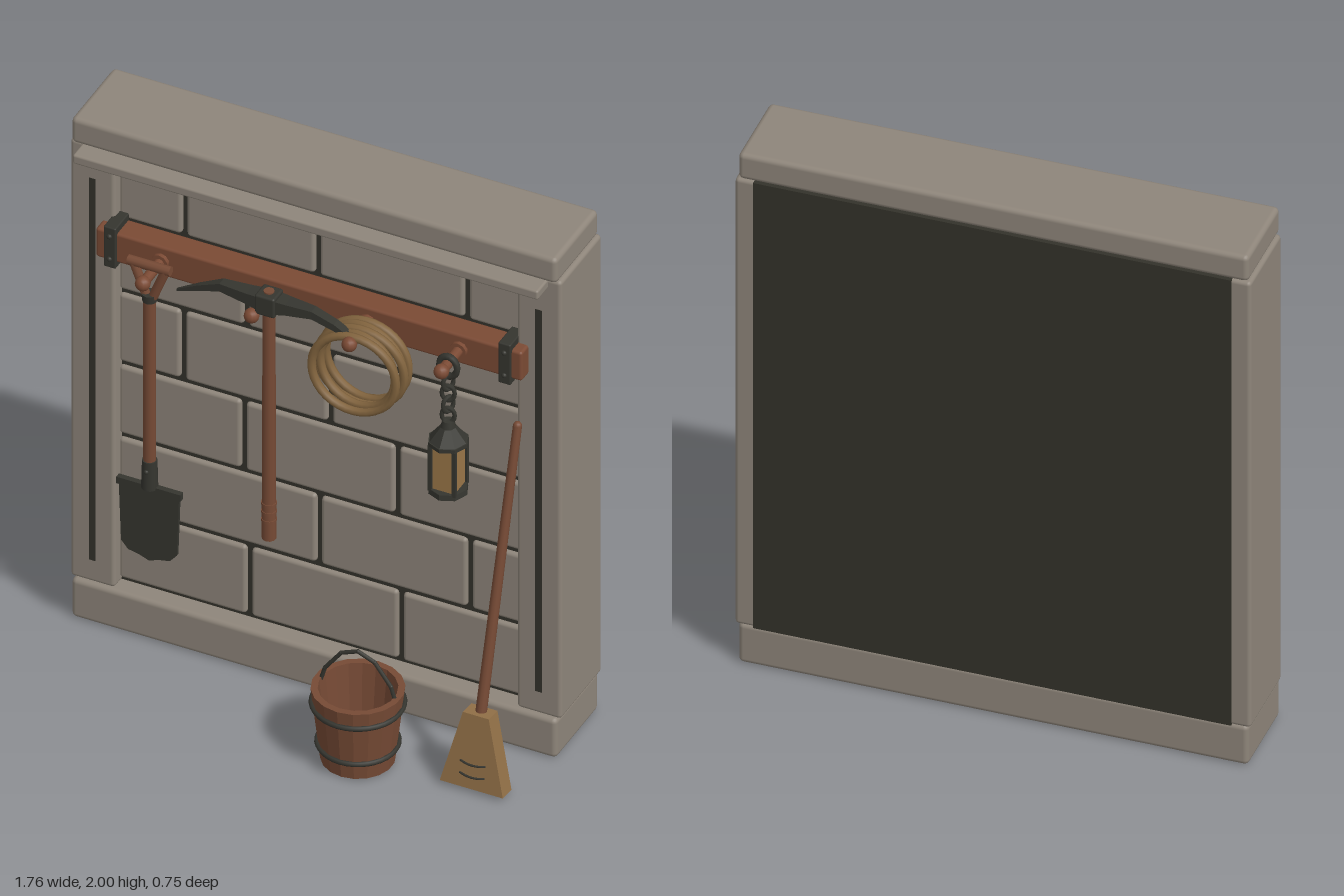
import * as THREE from 'three';
import { RoundedBoxGeometry } from 'three/addons/geometries/RoundedBoxGeometry.js';

const mat = (name, color) => {
  const m = new THREE.MeshStandardMaterial({ color });
  m.name = name;
  return m;
};

export function createModel() {
  const stone = mat('stone', 0x8e857a);
  const mortar = mat('mortar', 0x33322a);
  const wood = mat('wood', 0x764a35);
  const railWood = mat('rail wood', 0x7b4a34);
  const iron = mat('iron', 0x35352f);
  const rope = mat('rope', 0x82643e);
  const straw = mat('straw', 0x927047);
  const glass = mat('lantern glass', 0x9a7648);

  const root = new THREE.Group();
  const group = (name, x = 0, y = 0, z = 0) => {
    const g = new THREE.Group();
    g.name = name;
    g.position.set(x, y, z);
    root.add(g);
    return g;
  };
  const add = (parent, name, geo, material, x = 0, y = 0, z = 0) => {
    const m = new THREE.Mesh(geo, material);
    m.name = name;
    m.position.set(x, y, z);
    parent.add(m);
    return m;
  };
  const box = (w, h, d) => new THREE.BoxGeometry(w, h, d);
  const cyl = (rt, rb, h, n = 12) => new THREE.CylinderGeometry(rt, rb, h, n);
  const ball = (r) => new THREE.SphereGeometry(r, 12, 8);
  // Rounded block given by its limits
  const block = (parent, name, material, x0, x1, y0, y1, z0, z1, r = 0.012) =>
    add(parent, name, new RoundedBoxGeometry(x1 - x0, y1 - y0, z1 - z0, 2, r), material,
      (x0 + x1) / 2, (y0 + y1) / 2, (z0 + z1) / 2);
  // Round bar between two points
  const rod = (parent, name, material, a, b, r, r2 = r) => {
    const A = new THREE.Vector3(...a), B = new THREE.Vector3(...b), d = B.clone().sub(A);
    const m = add(parent, name, cyl(r2, r, d.length(), 10), material);
    m.position.copy(A).add(B).multiplyScalar(0.5);
    m.quaternion.setFromUnitVectors(new THREE.Vector3(0, 1, 0), d.normalize());
    return m;
  };
  const flat = (geo) => {
    const g = geo.toNonIndexed();
    g.computeVertexNormals();
    return g;
  };

  // Wall frame
  const wall = group('wall');
  add(wall, 'backing', box(1.63, 1.75, 0.248), mortar, 0, 1.028, -0.249);
  block(wall, 'plinth', stone, -0.87, 0.87, 0, 0.155, -0.365, -0.055, 0.018);
  block(wall, 'cap', stone, -0.87, 0.87, 1.9, 2, -0.365, -0.055, 0.018);
  block(wall, 'ledge', stone, -0.835, 0.833, 1.866, 1.902, -0.12, 0.004, 0.008);
  for (const s of [-1, 1]) {
    block(wall, 'pillar', stone, s < 0 ? -0.88 : 0.72, s < 0 ? -0.72 : 0.88, 0.152, 1.903, -0.368, -0.07, 0.014);
    add(wall, 'pillarGroove', box(0.024, 1.53, 0.006), mortar, s * 0.8, 1.005, -0.072);
  }

  // Masonry courses set back between the pillars, listed by their upright joints
  const courses = [[-0.26, 0.283], [-0.01, 0.53], [-0.28, 0.27], [-0.497, 0.03], [-0.27, 0.28], [-0.492, -0.015, 0.52]];
  courses.forEach((joints, i) => {
    const xs = [-0.735, ...joints, 0.735], y = 0.16 + i * 0.289;
    for (let k = 0; k + 1 < xs.length; k++)
      block(wall, 'stoneBlock', stone, xs[k] + 0.009, xs[k + 1] - 0.009, y + 0.009, y + 0.28, -0.17, -0.11, 0.014);
  });

  // Tool rail with straps and pegs
  const rail = group('toolRail');
  block(rail, 'railBoard', railWood, -0.765, 0.763, 1.5, 1.615, -0.112, -0.022, 0.01);
  for (const x of [-0.71, 0.705]) {
    block(rail, 'strap', iron, x - 0.022, x + 0.022, 1.48, 1.64, -0.112, -0.012, 0.005);
    for (const y of [1.515, 1.605]) add(rail, 'strapBolt', ball(0.009), iron, x, y, -0.012);
  }
  for (const x of [-0.53, -0.14, 0.21, 0.54]) {
    rod(rail, 'peg', railWood, [x, 1.56, -0.03], [x, 1.558, 0.11], 0.018);
    add(rail, 'pegKnob', ball(0.026), railWood, x, 1.558, 0.11);
    rod(rail, 'pegCollar', railWood, [x, 1.56, -0.024], [x, 1.56, -0.008], 0.03);
  }

  // Shovel
  const shovel = group('shovel', -0.53, 0, 0.06);
  rod(shovel, 'shaft', wood, [0, 0.78, 0], [0, 1.48, 0], 0.021);
  rod(shovel, 'gripBar', wood, [-0.076, 1.597, 0], [0.076, 1.597, 0], 0.017);
  for (const s of [-1, 1]) rod(shovel, 'gripArm', wood, [s * 0.012, 1.475, 0], [s * 0.058, 1.595, 0], 0.016);
  add(shovel, 'gripFerrule', cyl(0.027, 0.024, 0.03), iron, 0, 1.472, 0);
  add(shovel, 'socket', cyl(0.025, 0.028, 0.11), iron, 0, 0.765, 0);
  add(shovel, 'socketRivet', ball(0.008), iron, 0, 0.785, 0.025);
  const blade = new THREE.Shape();
  blade.moveTo(-0.108, 0.712);
  blade.lineTo(-0.106, 0.64);
  blade.lineTo(-0.1, 0.47);
  blade.lineTo(-0.075, 0.44);
  blade.lineTo(-0.035, 0.432);
  blade.lineTo(0, 0.418);
  blade.lineTo(0.035, 0.432);
  blade.lineTo(0.075, 0.44);
  blade.lineTo(0.1, 0.47);
  blade.lineTo(0.106, 0.64);
  blade.lineTo(0.108, 0.712);
  add(shovel, 'blade', new THREE.ExtrudeGeometry(blade, { depth: 0.012, bevelEnabled: false }), iron, 0, 0, -0.006);
  add(shovel, 'tread', box(0.23, 0.026, 0.02), iron, 0, 0.706, 0);

  // Pickaxe
  const pick = group('pickaxe', -0.095, 0, 0.075);
  rod(pick, 'shaft', wood, [0, 0.66, 0], [0, 1.6, 0], 0.024, 0.021);
  for (const y of [0.735, 0.768, 0.8]) add(pick, 'gripRing', cyl(0.026, 0.026, 0.01), wood, 0, y, 0);
  block(pick, 'headEye', iron, -0.036, 0.036, 1.568, 1.645, -0.036, 0.036, 0.008);
  rod(pick, 'shaftEnd', wood, [0, 1.6, 0], [0, 1.65, 0], 0.018);
  // Head lofted along x: [x, y, half height, half depth]
  const sections = [[-0.33, 1.546, 0.004, 0.004], [-0.25, 1.583, 0.011, 0.01], [-0.17, 1.616, 0.015, 0.017],
    [-0.07, 1.61, 0.021, 0.026], [0, 1.605, 0.03, 0.032], [0.07, 1.61, 0.021, 0.026],
    [0.16, 1.613, 0.015, 0.018], [0.24, 1.588, 0.013, 0.016], [0.318, 1.55, 0.008, 0.016]];
  const pos = [], idx = [];
  sections.forEach(([x, y, h, d], i) => {
    pos.push(x, y + h, d, x, y + h, -d, x, y - h, -d, x, y - h, d);
    if (!i) return;
    for (let k = 0; k < 4; k++) {
      const a = (i - 1) * 4 + k, a1 = (i - 1) * 4 + (k + 1) % 4;
      idx.push(a, a + 4, a1 + 4, a, a1 + 4, a1);
    }
  });
  const e = pos.length / 3 - 4;
  idx.push(0, 1, 2, 0, 2, 3, e, e + 2, e + 1, e, e + 3, e + 2);
  const head = new THREE.BufferGeometry();
  head.setAttribute('position', new THREE.Float32BufferAttribute(pos, 3));
  head.setIndex(idx);
  add(pick, 'head', flat(head), iron);

  // Coiled rope: [radius, x, y, z] of each loop
  const coil = group('ropeCoil', 0.218, 1.428, 0);
  [[0.15, -0.003, 0, 0.002], [0.143, 0.004, 0.006, 0.022], [0.151, 0.001, 0.001, 0.044],
    [0.138, 0, 0.004, 0.066], [0.147, -0.002, -0.001, 0.09]].forEach(([r, x, y, z], i) => {
    const t = add(coil, 'ropeLoop', new THREE.TorusGeometry(r, 0.0145, 8, 36), rope, x, y, z);
    t.rotation.set(0.03 * (i % 3 - 1), 0.06 * (i % 2 ? -1 : 1), 0);
  });

  // Hanging lantern
  const lantern = group('lantern', 0.54, 0, 0.06);
  const ring = add(lantern, 'hangingRing', new THREE.TorusGeometry(0.032, 0.011, 8, 18), iron, 0, 1.545, 0);
  ring.scale.y = 1.2;
  for (let i = 0; i < 4; i++) {
    const link = add(lantern, 'chainLink', new THREE.TorusGeometry(0.021, 0.0075, 6, 14), iron, 0, 1.482 - i * 0.044, 0);
    link.scale.y = 1.35;
    link.rotation.y = i % 2 ? 0.3 : Math.PI / 2 - 0.5;
  }
  add(lantern, 'finial', cyl(0.02, 0.026, 0.025, 8), iron, 0, 1.318, 0);
  add(lantern, 'roof', flat(cyl(0.024, 0.066, 0.055, 8)), iron, 0, 1.281, 0);
  add(lantern, 'roofRim', flat(cyl(0.068, 0.068, 0.014, 8)), iron, 0, 1.249, 0);
  add(lantern, 'glassBody', box(0.084, 0.175, 0.084), glass, 0, 1.155, 0);
  for (const x of [-1, 1]) for (const z of [-1, 1])
    add(lantern, 'cornerPost', box(0.014, 0.18, 0.014), iron, x * 0.043, 1.155, z * 0.043);
  add(lantern, 'base', flat(cyl(0.066, 0.068, 0.02, 8)), iron, 0, 1.062, 0);

  // Broom leaning on the wall
  const broom = group('broom');
  rod(broom, 'stick', wood, [0.706, 0.26, 0.163], [0.729, 1.29, -0.06], 0.019, 0.015);
  add(broom, 'stickTip', ball(0.015), wood, 0.729, 1.29, -0.06);
  const bristles = new THREE.Group();
  bristles.name = 'bristleHead';
  bristles.position.set(0.705, 0.149, 0.179);
  bristles.rotation.x = -0.12;
  broom.add(bristles);
  const brush = box(0.226, 0.275, 0.064);
  const bp = brush.attributes.position;
  for (let i = 0; i < bp.count; i++) if (bp.getY(i) > 0) bp.setX(i, bp.getX(i) * 0.41);
  add(bristles, 'bristles', flat(brush), straw);
  for (const y of [-0.09, -0.045]) for (const s of [-1, 1]) {
    const stitch = new THREE.QuadraticBezierCurve3(new THREE.Vector3(-0.045, y + 0.004, s * 0.031),
      new THREE.Vector3(0, y - 0.006, s * 0.046), new THREE.Vector3(0.045, y + 0.004, s * 0.031));
    add(bristles, 'stitch', new THREE.TubeGeometry(stitch, 8, 0.004, 6), iron);
  }

  // Bucket with hoops and bail
  const bucket = group('bucket', 0.293, 0, 0.215);
  const profile = [[0, 0.004], [0.122, 0.004], [0.153, 0.283], [0.13, 0.283], [0.104, 0.03], [0, 0.03]];
  add(bucket, 'staves', flat(new THREE.LatheGeometry(profile.map(p => new THREE.Vector2(...p)), 18)), wood);
  for (const [y, r] of [[0.07, 0.132], [0.225, 0.15]]) {
    const hoop = add(bucket, 'hoop', new THREE.TorusGeometry(r, 0.009, 6, 36), iron, 0, y, 0);
    hoop.rotation.x = Math.PI / 2;
  }
  const bail = [[-0.132, 0.275], [-0.118, 0.322], [-0.06, 0.4], [0, 0.425], [0.06, 0.4], [0.118, 0.322], [0.132, 0.275]];
  for (let i = 0; i + 1 < bail.length; i++) {
    rod(bucket, 'bail', iron, [...bail[i], 0], [...bail[i + 1], 0], 0.007);
    add(bucket, 'bailJoint', ball(0.0075), iron, ...bail[i], 0);
  }

  return root;
}
